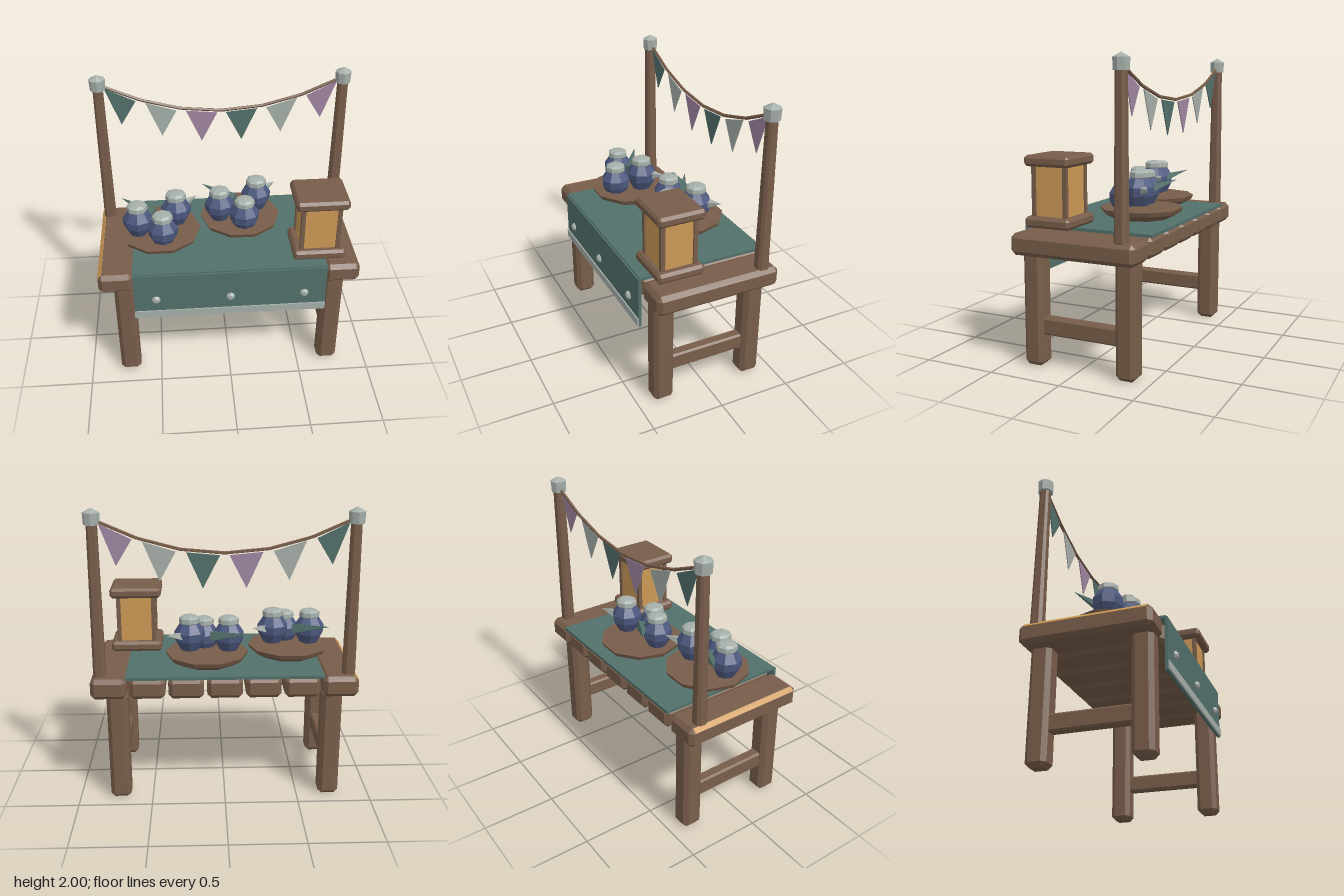
import * as THREE from 'three';
import { ConvexGeometry } from 'three/addons/geometries/ConvexGeometry.js';

const material = (name, color, side = THREE.FrontSide) =>
  Object.assign(new THREE.MeshStandardMaterial({ color, flatShading: true, side }), { name });

// Box with bevelled edges, centred on the origin
function bevelBox(w, h, d, c) {
  const pts = [];
  for (const x of [-1, 1]) for (const y of [-1, 1]) for (const z of [-1, 1]) {
    const a = w / 2, b = h / 2, e = d / 2;
    pts.push(
      new THREE.Vector3(x * a, y * (b - c), z * (e - c)),
      new THREE.Vector3(x * (a - c), y * b, z * (e - c)),
      new THREE.Vector3(x * (a - c), y * (b - c), z * e));
  }
  return new ConvexGeometry(pts);
}

const lathe = (profile, sides) =>
  new THREE.LatheGeometry(profile.map(([r, y]) => new THREE.Vector2(r, y)), sides);

export function createModel() {
  const root = new THREE.Group();
  root.name = 'marketStall';
  const wood = material('wood', 0x785d4a);
  const teal = material('teal cloth', 0x52706b, THREE.DoubleSide);
  const pale = material('pale grey', 0xa6afaa, THREE.DoubleSide);
  const purple = material('purple cloth', 0x9f86a2, THREE.DoubleSide);
  const amber = material('amber', 0xcc9955);
  const blue = material('blue glaze', 0x4c587e);

  const add = (name, geo, mat, x = 0, y = 0, z = 0, parent = root) => {
    const mesh = new THREE.Mesh(geo, mat);
    mesh.name = name;
    mesh.position.set(x, y, z);
    parent.add(mesh);
    return mesh;
  };

  // Table top: seven bevelled planks running front to back
  const plank = bevelBox(0.236, 0.14, 0.865, 0.028);
  for (let i = -3; i <= 3; i++) add('tablePlank', plank, wood, i * 0.257, 0.82, -0.018);

  // Bright strip on the outer top edge of one end plank
  add('edgeStrip', new THREE.BoxGeometry(0.036, 0.004, 0.8), amber, -0.876, 0.877, -0.018).rotation.z = Math.PI / 4;

  // Legs, side rails, posts and caps
  const leg = bevelBox(0.14, 0.78, 0.14, 0.028);
  const rail = bevelBox(0.08, 0.115, 0.58, 0.012);
  const post = bevelBox(0.082, 1.06, 0.082, 0.018);
  const pp = post.attributes.position;
  for (let i = 0; i < pp.count; i++) {
    const s = 0.9 - 0.2 * pp.getY(i) / 1.06;
    pp.setX(i, pp.getX(i) * s);
    pp.setZ(i, pp.getZ(i) * s);
  }
  post.computeVertexNormals();
  const cap = lathe([[0, 1.895], [0.052, 1.895], [0.055, 1.97], [0, 2]], 8);
  for (const s of [-1, 1]) {
    add('frontLeg', leg, wood, s * 0.72, 0.39, 0.318);
    add('backLeg', leg, wood, s * 0.72, 0.39, -0.34);
    add('sideRail', rail, wood, s * 0.72, 0.268, -0.01);
    add('post', post, wood, s * 0.83, 1.4, -0.345);
    add('postCap', cap, pale, s * 0.83, 0, -0.345);
  }

  // Sagging rope in straight runs
  const rope = new THREE.CurvePath();
  const ropePts = [-0.82, -0.55, -0.28, 0, 0.28, 0.55, 0.82].map(
    x => new THREE.Vector3(x, 1.71 + 0.32 * x * x, -0.348));
  for (let i = 0; i < 6; i++) rope.add(new THREE.LineCurve3(ropePts[i], ropePts[i + 1]));
  add('rope', new THREE.TubeGeometry(rope, 36, 0.011, 5), wood);

  // Pennants: two top corners and a tip each, mirrored across the middle
  const corners = [
    [[-0.79, 1.9], [-0.69, 1.63], [-0.585, 1.8]],
    [[-0.52, 1.785], [-0.415, 1.53], [-0.31, 1.72]],
    [[-0.245, 1.715], [-0.14, 1.48], [-0.03, 1.695]]];
  const leftColours = [teal, pale, purple], rightColours = [purple, pale, teal];
  corners.forEach((tri, i) => {
    for (const s of [-1, 1]) {
      const shape = new THREE.Shape(tri.map(([x, y]) => new THREE.Vector2(-s * x, y)));
      const geo = new THREE.ExtrudeGeometry(shape, { depth: 0.006, bevelEnabled: false });
      add('pennant', geo, (s < 0 ? leftColours : rightColours)[i], 0, 0, -0.348);
    }
  });

  // Cloth over the table, front drop, hem and studs
  add('clothTop', new THREE.BoxGeometry(1.31, 0.02, 0.895), teal, 0, 0.904, -0.0175);
  add('clothDrop', new THREE.BoxGeometry(1.31, 0.355, 0.02), teal, 0, 0.727, 0.432);
  add('clothHem', new THREE.BoxGeometry(1.312, 0.055, 0.009), pale, 0, 0.583, 0.4465);
  const stud = lathe([[0.03, 0], [0.03, 0.008], [0.018, 0.022], [0, 0.024]], 8);
  for (const x of [-0.505, 0, 0.505]) add('stud', stud, pale, x, 0.705, 0.441).rotation.x = Math.PI / 2;

  // Dishes, each with three lidded jars and two pointed leaves
  const dish = lathe([[0, 0], [0.2, 0], [0.272, 0.04], [0.285, 0.07], [0, 0.07]], 10);
  const jar = lathe([[0, 0], [0.063, 0], [0.1, 0.07], [0.104, 0.125], [0.062, 0.19], [0, 0.19]], 8);
  const lid = lathe([[0, 0.18], [0.06, 0.18], [0.072, 0.192], [0.07, 0.222], [0.05, 0.235], [0, 0.24]], 8);
  const leaf = (tip, base, radius, mat, parent) => {
    const a = new THREE.Vector3(...tip), b = new THREE.Vector3(...base);
    const dir = a.clone().sub(b), mid = a.clone().add(b).multiplyScalar(0.5);
    const mesh = add('leaf', new THREE.ConeGeometry(radius, dir.length(), 4), mat, mid.x, mid.y, mid.z, parent);
    mesh.quaternion.setFromUnitVectors(new THREE.Vector3(0, 1, 0), dir.normalize());
  };
  for (const [x, z] of [[-0.46, 0], [0.115, -0.145]]) {
    const set = new THREE.Group();
    set.name = 'jarDish';
    set.position.set(x, 0.914, z);
    root.add(set);
    add('dish', dish, wood, 0, 0, 0, set).rotation.y = Math.PI / 2;
    for (const [jx, jy, jz] of [[-0.15, 0.07, 0.035], [0.02, 0.038, 0.125], [0.117, 0.1, -0.04]]) {
      add('jar', jar, blue, jx, jy, jz, set);
      add('jarLid', lid, pale, jx, jy, jz, set);
    }
    leaf([-0.265, 0.235, -0.155], [-0.04, 0.18, -0.015], 0.045, teal, set);
    leaf([0.265, 0.23, -0.155], [0.14, 0.2, -0.07], 0.05, pale, set);
  }

  // Lantern: slabs, glowing core and corner frame
  const lantern = new THREE.Group();
  lantern.name = 'lantern';
  lantern.position.set(0.612, 0, 0.204);
  root.add(lantern);
  const slab = bevelBox(0.355, 0.07, 0.322, 0.018);
  add('lanternBase', slab, wood, 0, 0.95, 0, lantern);
  add('lanternRoof', slab, wood, 0, 1.34, 0, lantern);
  add('lanternPanes', new THREE.BoxGeometry(0.25, 0.33, 0.23), amber, 0, 1.145, 0, lantern);
  const bar = new THREE.BoxGeometry(0.028, 0.33, 0.028);
  for (const sx of [-1, 1]) for (const sz of [-1, 1])
    add('lanternPost', bar, wood, sx * 0.122, 1.145, sz * 0.112, lantern);

  return root;
}
